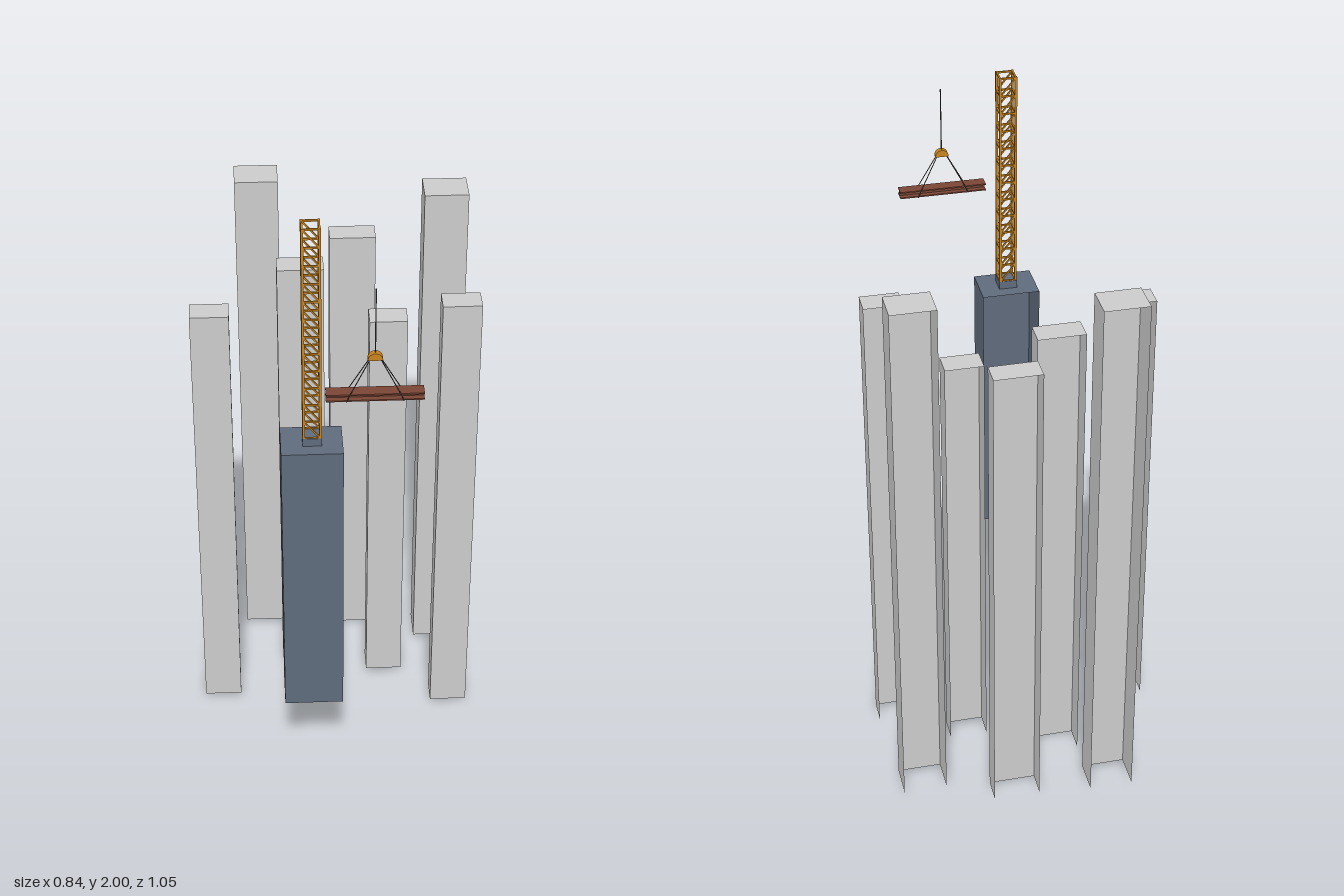
import * as THREE from 'three';

const paint = (color) => new THREE.MeshStandardMaterial({ color, side: THREE.DoubleSide });
const grey = paint(0xcccccc);
const slate = paint(0x5f6b7c);
const amber = paint(0xc8841e);
const rust = paint(0x7a4636);
const steel = paint(0x4a4a4a);

function add(parent, name, geometry, material, x = 0, y = 0, z = 0) {
  const mesh = new THREE.Mesh(geometry, material);
  mesh.name = name;
  mesh.position.set(x, y, z);
  parent.add(mesh);
  return mesh;
}

// Box shell with a roof, front and two sides; open at the back and bottom
function towerShell(parent, name, x0, x1, z0, z1, y0, y1, material) {
  const geo = new THREE.BoxGeometry(x1 - x0, y1 - y0, z1 - z0);
  const idx = Array.from(geo.index.array);
  geo.setIndex([...idx.slice(0, 18), ...idx.slice(24, 30)]);
  add(parent, name, geo, material, (x0 + x1) / 2, (y0 + y1) / 2, (z0 + z1) / 2);
}

// Straight bar between two points: four-sided for girders, rounder for ropes
function bar(parent, name, a, b, radius, material, sides = 4) {
  const from = new THREE.Vector3(...a), to = new THREE.Vector3(...b);
  const dir = to.clone().sub(from);
  const geo = new THREE.CylinderGeometry(radius, radius, dir.length(), sides);
  if (sides === 4) geo.rotateY(Math.PI / 4);
  const mesh = add(parent, name, sides === 4 ? geo.toNonIndexed() : geo, material);
  if (sides === 4) mesh.geometry.computeVertexNormals();
  mesh.position.copy(from).add(to).multiplyScalar(0.5);
  mesh.quaternion.setFromUnitVectors(new THREE.Vector3(0, 1, 0), dir.normalize());
}

function createMast() {
  const mast = new THREE.Group();
  mast.name = 'latticeMast';
  const h = 0.023, y0 = 1.334, y1 = 1.997, bays = 12, step = (y1 - y0) / bays;
  // Corner posts
  for (const x of [-h, h]) for (const z of [-h, h]) {
    add(mast, 'mastPost', new THREE.BoxGeometry(0.007, y1 - y0 + 0.006, 0.007), amber, x, (y0 + y1) / 2, z);
  }
  // Horizontal rings
  for (let i = 0; i <= bays; i++) {
    const y = y0 + i * step;
    for (const s of [-h, h]) {
      add(mast, 'mastRung', new THREE.BoxGeometry(2 * h, 0.005, 0.005), amber, 0, y, s);
      add(mast, 'mastRung', new THREE.BoxGeometry(0.005, 0.005, 2 * h), amber, s, y, 0);
      // Diagonals on the front and back faces
      if (i < bays) bar(mast, 'mastBrace', [-h, y + step, s], [h, y, s], 0.003, amber);
    }
  }
  mast.position.set(-0.085, 0, 0.341);
  return mast;
}

function createLoad() {
  const load = new THREE.Group();
  load.name = 'hoistedLoad';
  // I-beam
  for (const y of [1.562, 1.58]) {
    add(load, 'beamFlange', new THREE.BoxGeometry(0.262, 0.004, 0.037), rust, 0, y, 0);
  }
  add(load, 'beamWeb', new THREE.BoxGeometry(0.262, 0.016, 0.005), rust, 0, 1.571, 0);
  // Half-round hook block
  const block = new THREE.CylinderGeometry(0.02, 0.02, 0.018, 12, 1, false, Math.PI / 2, Math.PI);
  block.rotateX(Math.PI / 2);
  add(load, 'hookBlock', block, amber, 0, 1.683, 0);
  add(load, 'hookBlockBase', new THREE.BoxGeometry(0.04, 0.003, 0.018), amber, 0, 1.683, 0);
  // Hoist cable and the slings that wrap the beam
  bar(load, 'hoistCable', [0, 1.69, 0], [0, 1.897, 0], 0.0018, steel, 6);
  for (const sx of [-1, 1]) {
    for (const sz of [-1, 1]) {
      bar(load, 'sling', [sx * 0.014, 1.683, sz * 0.004], [sx * 0.067, 1.582, sz * 0.0195], 0.0014, steel, 6);
      bar(load, 'slingWrap', [sx * 0.067, 1.582, sz * 0.0195], [sx * 0.076, 1.56, sz * 0.0195], 0.0014, steel, 6);
    }
    bar(load, 'slingWrap', [sx * 0.076, 1.56, -0.0195], [sx * 0.076, 1.56, 0.0195], 0.0014, steel, 6);
  }
  load.position.set(0.077, 0, 0.5);
  return load;
}

export function createModel() {
  const model = new THREE.Group();
  model.name = 'skyline';

  // Background towers: x0, x1, z0, z1, bottom, top
  const towers = [
    [-0.281, -0.152, -0.525, -0.422, 0.016, 1.7],
    [0, 0.139, -0.489, -0.417, 0.002, 1.505],
    [0.274, 0.404, -0.419, -0.317, 0.016, 1.7],
    [-0.164, -0.025, -0.314, -0.24, 0, 1.505],
    [0.105, 0.218, -0.217, -0.143, 0.027, 1.38],
    [-0.421, -0.307, -0.124, -0.051, 0.022, 1.47],
    [0.304, 0.418, -0.069, 0.004, 0.016, 1.52],
  ];
  for (const t of towers) towerShell(model, 'backgroundTower', ...t, grey);

  // Main tower with the mast footing
  towerShell(model, 'mainTower', -0.173, 0, 0.275, 0.407, 0.39, 1.309, slate);
  add(model, 'mastFooting', new THREE.BoxGeometry(0.054, 0.026, 0.054), slate, -0.085, 1.321, 0.341);

  model.add(createMast(), createLoad());
  return model;
}
